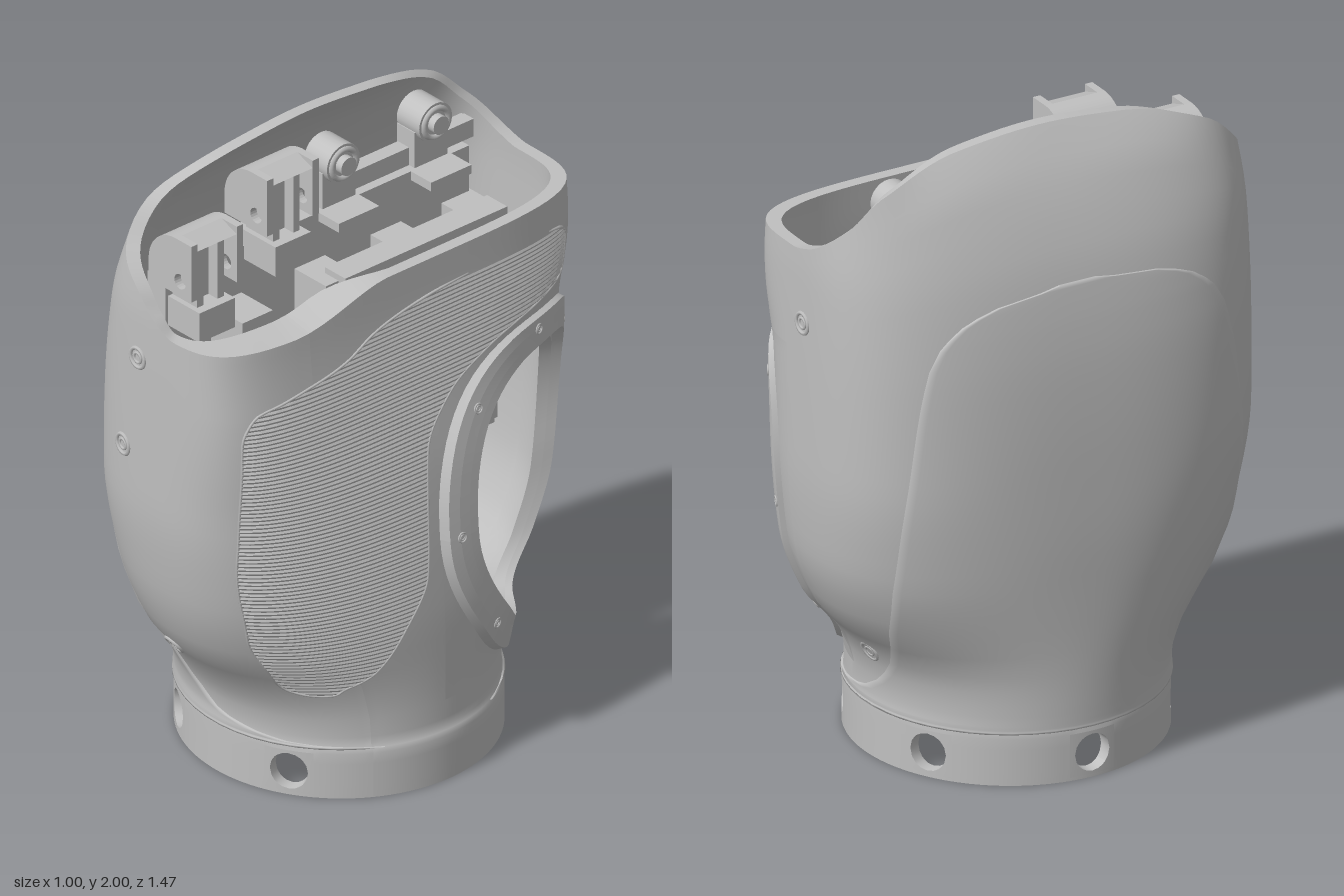
import * as THREE from 'three';
import { mergeGeometries } from 'three/addons/utils/BufferGeometryUtils.js';

const RAD = Math.PI / 180, WALL = 0.04;
const grey = new THREE.MeshStandardMaterial({ color: 0xc0c0c0, side: THREE.DoubleSide });
grey.name = 'light grey';

// Smooth monotone interpolation through [x, y] points
function ease(pts) {
  const sec = (i) => (pts[i + 1][1] - pts[i][1]) / (pts[i + 1][0] - pts[i][0]);
  const tan = pts.map((p, i) => {
    if (i === 0 || i === pts.length - 1) return 0;
    const a = sec(i - 1), b = sec(i);
    return a * b <= 0 ? 0 : (2 * a * b) / (a + b);
  });
  return (x) => {
    if (x <= pts[0][0]) return pts[0][1];
    let i = 0;
    while (i < pts.length - 1 && x > pts[i + 1][0]) i++;
    if (i === pts.length - 1) return pts[i][1];
    const h = pts[i + 1][0] - pts[i][0], t = (x - pts[i][0]) / h, u = 1 - t;
    return pts[i][1] * (1 + 2 * t) * u * u + tan[i] * h * t * u * u
      + pts[i + 1][1] * t * t * (3 - 2 * t) - tan[i + 1] * h * t * t * u;
  };
}

// Half widths and squareness of the body section by height
const wRight = ease([[0, .49], [.155, .49], [.175, .475], [.35, .47], [.5, .47], [.7, .46], [1, .43], [1.3, .38], [1.6, .345], [2, .33]]);
const wLeft = ease([[0, .5], [.155, .5], [.175, .494], [.7, .494], [1, .483], [1.3, .458], [1.6, .4], [1.8, .32], [1.9, .268], [2, .19]]);
const wFront = ease([[0, .485], [.155, .485], [.22, .48], [.35, .53], [.5, .635], [.7, .7], [1, .735], [1.6, .74], [2, .71]]);
const wBack = ease([[0, .485], [.155, .485], [.22, .48], [.35, .51], [.5, .62], [.7, .69], [1, .715], [1.6, .72], [2, .7]]);
const squareLeft = ease([[0, 2], [.3, 2], [.7, 2.5], [1, 2.9], [2, 3.1]]);
const squareFront = ease([[0, 2], [.3, 2], [.7, 2.5], [1, 2.95], [1.4, 4.4], [2, 4.6]]);
const squareBack = ease([[0, 2], [.3, 2], [.7, 2.3], [1, 2.5], [1.3, 3], [1.6, 4.6], [2, 4.6]]);
const rimY = ease([[0, 1.69], [8, 1.69], [34, 1.61], [75, 1.6], [90, 1.64], [100, 1.7], [122, 1.8], [136, 1.9], [158, 1.98],
  [180, 2], [202, 1.98], [224, 1.9], [238, 1.8], [261, 1.71], [275, 1.69], [360, 1.69]]);

// Point on the body at an angle (degrees) and height, set in by depth d and sideways by dx
function skin(deg, y, d = 0, dx = 0) {
  const c = Math.cos(deg * RAD), s = Math.sin(deg * RAD);
  const n = (c < 0 ? squareLeft : s > 0 ? squareFront : squareBack)(y);
  const r = Math.pow(Math.abs(c) ** n + Math.abs(s) ** n, -1 / n);
  return new THREE.Vector3(((c > 0 ? wRight : wLeft)(y) - d - dx) * c * r, y, ((s > 0 ? wFront : wBack)(y) - d) * s * r);
}
function angleAtZ(z, y) {
  let lo = -90, hi = 90;
  for (let k = 0; k < 24; k++) { const m = (lo + hi) / 2; if (skin(m, y).z < z) lo = m; else hi = m; }
  return lo;
}

// Surface from rows of points
function sheet(rows, skip = () => false) {
  const n = rows[0].length, idx = [];
  for (let j = 0; j < rows.length - 1; j++) for (let i = 0; i < n - 1; i++) {
    if (skip(i, j)) continue;
    const a = j * n + i, b = a + 1, c = a + n, d = c + 1;
    idx.push(a, c, b, b, c, d);
  }
  const g = new THREE.BufferGeometry().setFromPoints(rows.flat());
  g.setIndex(idx);
  g.computeVertexNormals();
  return g;
}
const range = (n, f) => Array.from({ length: n + 1 }, (_, i) => f(i / n, i));

export function createModel() {
  const root = new THREE.Group();
  const add = (name, geo, x = 0, y = 0, z = 0, parent = root) => {
    const m = new THREE.Mesh(geo, grey);
    m.name = name;
    m.position.set(x, y, z);
    parent.add(m);
    return m;
  };
  const box = (name, w, h, d, x, y, z) => add(name, new THREE.BoxGeometry(w, h, d), x, y, z);

  // Body grid, with a wide chamfered lip at the front corner
  const low = [0, .01, .045, .08, .115, .15, .165, .178, .2, ...range(20, (t) => .26 + 1.1 * t)];
  const degs = range(120, (t) => 30 + 360 * t);
  const top = (deg) => rimY(deg % 360);
  const levels = [...low.map((y) => () => y), ...range(8, (t) => (deg) => 1.36 + (top(deg) - 1.36) * t).slice(1)];
  const lipSpan = ease([[6, 0], [24, .09], [90, .09]]);
  const inner = (deg, y) => {
    const h = Math.max(0, (y - 1.36) / (top(deg) - 1.36));
    return skin(deg, y, WALL, deg % 360 <= 90 ? lipSpan(deg % 360) * h * h : 0);
  };

  // Openings: side window and five collar holes
  const windowEdge = (phi, k = 1) => {
    const c = Math.cos(phi), s = Math.sin(phi);
    const r = k * Math.pow(Math.abs(c) ** 2.3 + Math.abs(s) ** 2.3, -1 / 2.3);
    return [322 + 29 * r * c - 15 * Math.max(0, -s) ** 2, .8 + .45 * r * s];
  };
  const openings = [{ i0: 83, i1: 110, j0: 9, j1: 29, phi: (t, y) => Math.atan2((y - .8) / .5, (t - 322) / 36), edge: windowEdge }];
  for (const a of [60, 120, 180, 240, 300]) {
    const i = (a - 30) / 3;
    openings.push({ i0: i - 3, i1: i + 3, j0: 1, j1: 5, phi: (t, y) => Math.atan2((y - .08) / .06, (t - a) / 7),
      edge: (p) => [a + 7 * Math.cos(p), .08 + .06 * Math.sin(p)] });
  }
  const open = (i, j) => openings.some((o) => i >= o.i0 && i < o.i1 && j >= o.j0 && j < o.j1);
  add('outerShell', sheet(levels.map((f) => degs.map((t) => skin(t, f(t)))), open));
  add('innerShell', sheet(levels.map((f) => degs.map((t) => inner(t, f(t)))).reverse(), (i, j) => open(i, levels.length - 2 - j)));
  add('topRim', sheet([degs.map((t) => skin(t, top(t))), degs.map((t) => inner(t, top(t)))]));
  add('bottomRim', sheet([degs.map((t) => skin(t, 0, WALL)), degs.map((t) => skin(t, 0))]));

  // Fill between the grid and each opening, with the cut wall
  for (const o of openings) {
    const loop = [];
    for (let i = o.i0; i < o.i1; i++) loop.push([degs[i], low[o.j0]]);
    for (let j = o.j0; j < o.j1; j++) loop.push([degs[o.i1], low[j]]);
    for (let i = o.i1; i > o.i0; i--) loop.push([degs[i], low[o.j1]]);
    for (let j = o.j1; j >= o.j0; j--) loop.push([degs[o.i0], low[j]]);
    const ring = (k, d) => loop.map(([t, y]) => {
      const e = o.edge(o.phi(t, y));
      return skin(t + (e[0] - t) * k, y + (e[1] - y) * k, d);
    });
    add('openingSurround', sheet(range(5, (k) => ring(k, 0))));
    add('openingLining', sheet(range(5, (k) => ring(1 - k, WALL))));
    add('openingWall', sheet([ring(1, 0), ring(1, WALL)]));
  }

  // Raised flange round the window, wider and higher towards the front, with screws
  const flangeEdge = (phi, k) => {
    const e = windowEdge(phi, k);
    return [e[0] + 15 * Math.max(0, k - 1) * Math.max(0, Math.cos(phi)), e[1]];
  };
  const rise = (phi) => .018 + .018 * Math.max(0, Math.cos(phi + .3));
  const flange = [[.93, -2.5], [.93, -.8], [.99, -.8], [.99, 1], [1.05, 1], [1.12, 1], [1.19, .9], [1.22, -.5]];
  const flangeRow = ([k, h]) => range(80, (t) => skin(...flangeEdge(t * 2 * Math.PI, k), -h * (h > 0 ? rise(t * 2 * Math.PI) : .02)));
  add('windowFlange', mergeGeometries(flange.slice(1).map((f, i) => sheet([flange[i], f].map(flangeRow)))));
  const screw = (deg, y, r, d) => {
    const e = .5;
    const n = skin(deg, y + .01).sub(skin(deg, y - .01)).cross(skin(deg + e, y).sub(skin(deg - e, y))).normalize();
    const g = new THREE.Group();
    g.name = 'screw';
    g.position.copy(skin(deg, y, d));
    g.quaternion.setFromUnitVectors(new THREE.Vector3(0, 0, 1), n);
    add('screwRim', new THREE.TorusGeometry(r, r * .2, 6, 20), 0, 0, 0, g);
    add('screwSocket', new THREE.TorusGeometry(r * .5, r * .15, 6, 16), 0, 0, 0, g);
    root.add(g);
  };
  for (const a of [85, 130, 180, 225, 270, 318, 0, 45]) screw(...flangeEdge(a * RAD, 1.11), .015, -rise(a * RAD));
  for (const [a, y] of [[99, 1.48], [107, 1.15], [97, .45], [-94, 1.46], [-98, .36]]) screw(a, y, .032, 0);

  // Raised cover plate on the rounded side
  const plateSpan = ease([[.165, 155], [.178, 120], [.22, 90], [.35, 72], [.6, 55], [.9, 47], [1.4, 38], [1.5, 31], [1.55, 21], [1.575, 5]]);
  const plateYs = [.166, .171, .178, .19, .205, .22, .26, .3, .35, .42, .5, ...range(14, (t) => .6 + .85 * t), 1.48, 1.51, 1.53, 1.55, 1.565, 1.575];
  const plateRow = (y, d) => [-1, ...range(40, (t) => 2 * t - 1), 1]
    .map((k, i) => skin(180 + plateSpan(y) * k, y, i === 0 || i === 42 ? .004 : d));
  add('sidePlate', sheet([plateRow(.165, .004), ...plateYs.map((y) => plateRow(y, -.007)), plateRow(1.576, .004)]));

  // Finely ribbed grip
  const gripFront = ease([[.36, .4], [.38, .45], [.45, .51], [.6, .595], [.9, .65], [1.3, .655], [1.39, .62], [1.425, .5], [1.47, .3], [1.53, .17], [1.56, .05], [1.58, -.1]]);
  const gripBack = ease([[.36, .34], [.42, .25], [.55, .15], [.7, .06], [.95, .04], [1.1, .02], [1.25, -.1], [1.34, -.3], [1.38, -.5], [1.41, -.62], [1.55, -.63], [1.58, -.58]]);
  const gripRow = (y, d) => range(24, (t) => skin(angleAtZ(gripFront(y) + (gripBack(y) - gripFront(y)) * t, y), y, d));
  add('ribbedGrip', sheet(range(180, (t, i) => gripRow(.36 + 1.22 * t, i % 2 ? -.004 : -.001))).toNonIndexed()).geometry.computeVertexNormals();
  const edging = [...range(60, (t) => [gripFront, .36 + 1.22 * t]), ...range(60, (t) => [gripBack, 1.58 - 1.22 * t])]
    .map(([f, y]) => skin(angleAtZ(f(y), y), y));
  add('gripEdge', new THREE.TubeGeometry(new THREE.CatmullRomCurve3(edging, true), 240, .005, 5, true));

  // Inner frame
  box('mountPlate', .08, .85, 1.2, -.14, 1.25, 0);
  box('mountPlateTop', .05, .06, .62, -.15, 1.71, -.33);
  box('chassisPlate', .05, .36, .2, .03, 1.05, -.23);
  box('chassisPlate', .05, .28, .2, 0, 1.08, -.51);
  box('chassisTop', .09, .12, .64, .025, 1.48, -.28);
  for (const z of [-.55, -.27, .03, .36]) box('chassisStrut', .16, .2, .12, -.04, 1.42, z);
  box('lowerBar', .18, .12, .46, -.04, .88, -.35);
  for (const z of [-.5, -.35, -.2]) box('barTooth', .04, .1, .08, .06, .88, z);
  box('backBrace', .4, .14, .03, .1, 1.35, -.27);
  box('middleBrace', .32, .14, .05, .15, 1.3, .1);
  box('frontBrace', .32, .14, .05, .06, 1.3, .33);
  box('collarTab', .03, .26, .14, -.4, .2, -.12);
  box('smallClip', .1, .08, .07, -.28, .63, -.5);
  const peg = (name, r, len, x, y, z) => { add(name, new THREE.CylinderGeometry(r, r, len, 24), x, y, z).rotation.z = Math.PI / 2; };
  for (const y of [1.0, 1.12]) {
    peg('framePinBoss', .05, .04, .06, y, -.27);
    peg('framePin', .03, .03, .075, y, -.27);
  }
  peg('collarBoss', .05, .1, -.36, .3, .22);

  // Finger knuckles at the front: arched cover, two cheeks and a link
  for (const [z, y] of [[.52, 1.86], [.22, 1.97]]) {
    const cheek = new THREE.Shape();
    cheek.moveTo(-.15, y - .19);
    cheek.lineTo(.04, y - .19);
    cheek.lineTo(.04, y);
    cheek.lineTo(-.03, y);
    cheek.absarc(-.03, y - .12, .12, Math.PI / 2, Math.PI, false);
    cheek.closePath();
    const hole = new THREE.Path();
    hole.absarc(-.01, y - .14, .025, 0, Math.PI * 2, true);
    cheek.holes.push(hole);
    const cover = new THREE.Shape();
    cover.moveTo(.04, y);
    cover.absarc(-.03, y - .12, .12, Math.PI / 2, Math.PI, false);
    cover.absarc(-.03, y - .12, .095, Math.PI, Math.PI / 2, true);
    cover.lineTo(.04, y - .025);
    cover.closePath();
    const slab = (shape, depth) => new THREE.ExtrudeGeometry(shape, { depth, bevelEnabled: false, curveSegments: 10 });
    for (const side of [-1, 1]) add('knuckleCheek', slab(cheek, .025), 0, 0, z + side * .09 - .0125);
    add('knuckleCover', slab(cover, .2), 0, 0, z - .1);
    for (const side of [-1, 1]) box('knuckleLink', .12, .24, .025, -.05, y - .16, z + side * .04);
    box('knuckleCore', .08, .2, .06, -.07, y - .16, z);
    box('knuckleBase', .18, .1, .14, -.05, y - .29, z);
  }

  // Bearings at the back
  for (const z of [-.085, -.45]) {
    peg('bearing', .065, .1, -.13, 1.82, z);
    peg('bearingHub', .03, .03, -.07, 1.82, z);
    add('bearingRing', new THREE.TorusGeometry(.048, .009, 6, 24), -.08, 1.82, z).rotation.y = Math.PI / 2;
    box('bearingLug', .08, .12, .13, -.14, 1.74, z);
    box('bearingFoot', .1, .03, .16, -.06, 1.66, z);
  }
  return root;
}
